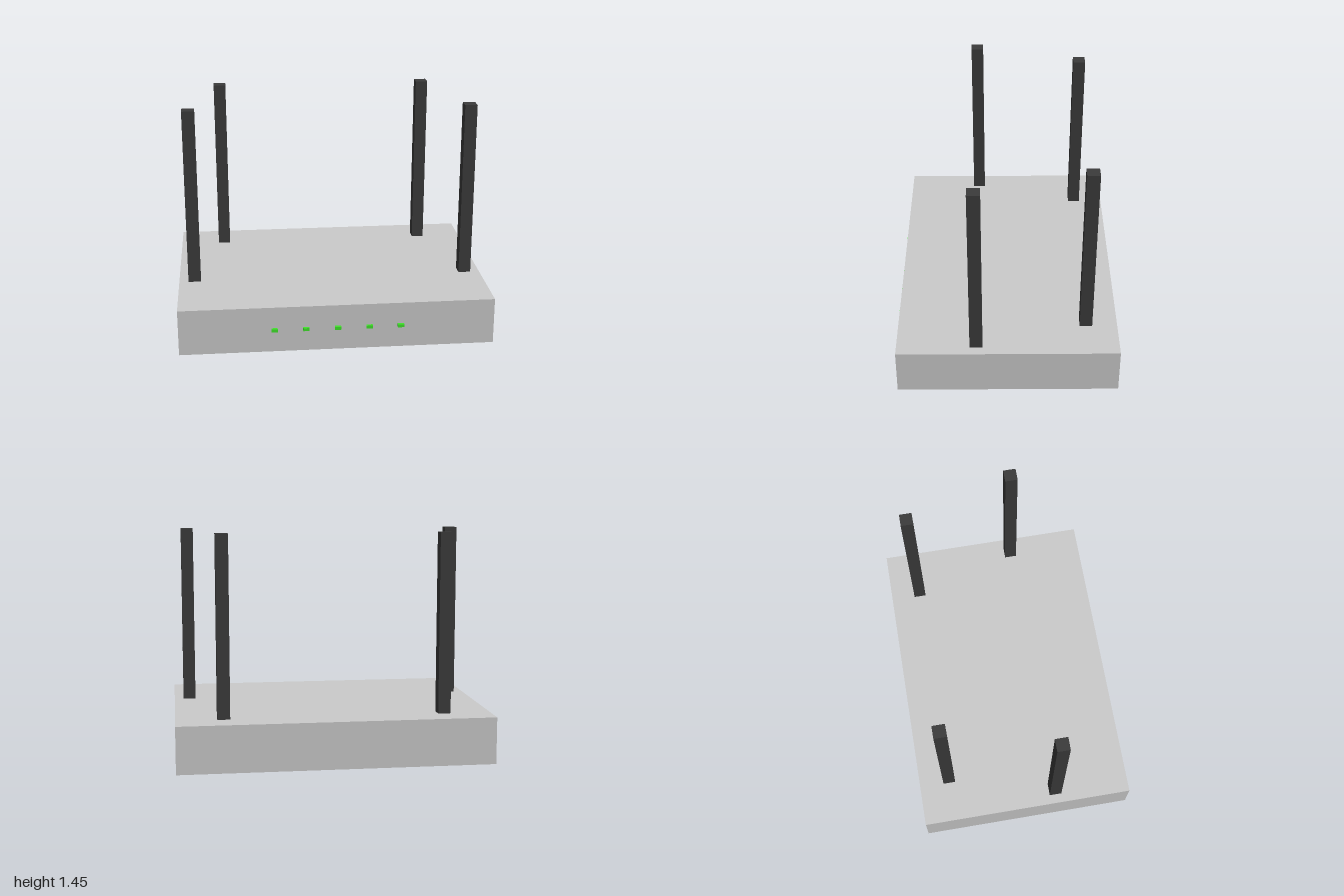
import * as THREE from 'three';

const grey = new THREE.MeshStandardMaterial({ color: 0xcccccc });
const dark = new THREE.MeshStandardMaterial({ color: 0x3c3c3c });
const green = new THREE.MeshStandardMaterial({ color: 0x3fe52a });

function addBox(parent, name, size, position, material) {
  const mesh = new THREE.Mesh(new THREE.BoxGeometry(...size), material);
  mesh.name = name;
  mesh.position.set(...position);
  parent.add(mesh);
}

export function createModel() {
  const model = new THREE.Group();
  model.name = 'router';

  // Flat rectangular housing
  addBox(model, 'housing', [2, 0.3, 1.4], [0, 0.15, -0.01], grey);

  // Two mirrored pairs of square antennas standing on the housing
  for (const side of [-1, 1]) {
    const label = side > 0 ? 'left' : 'right';
    addBox(model, `${label}FrontAntenna`, [0.08, 1.15, 0.08], [side * 0.9, 0.875, 0.19], dark);
    addBox(model, `${label}BackAntenna`, [0.08, 1.15, 0.08], [side * 0.7, 0.875, -0.51], dark);
  }

  // Row of status lights on the front face
  for (let i = 0; i < 5; i++) {
    addBox(model, `statusLight${i + 1}`, [0.04, 0.02, 0.02], [-0.4 + i * 0.2, 0.15, 0.7], green);
  }

  return model;
}
